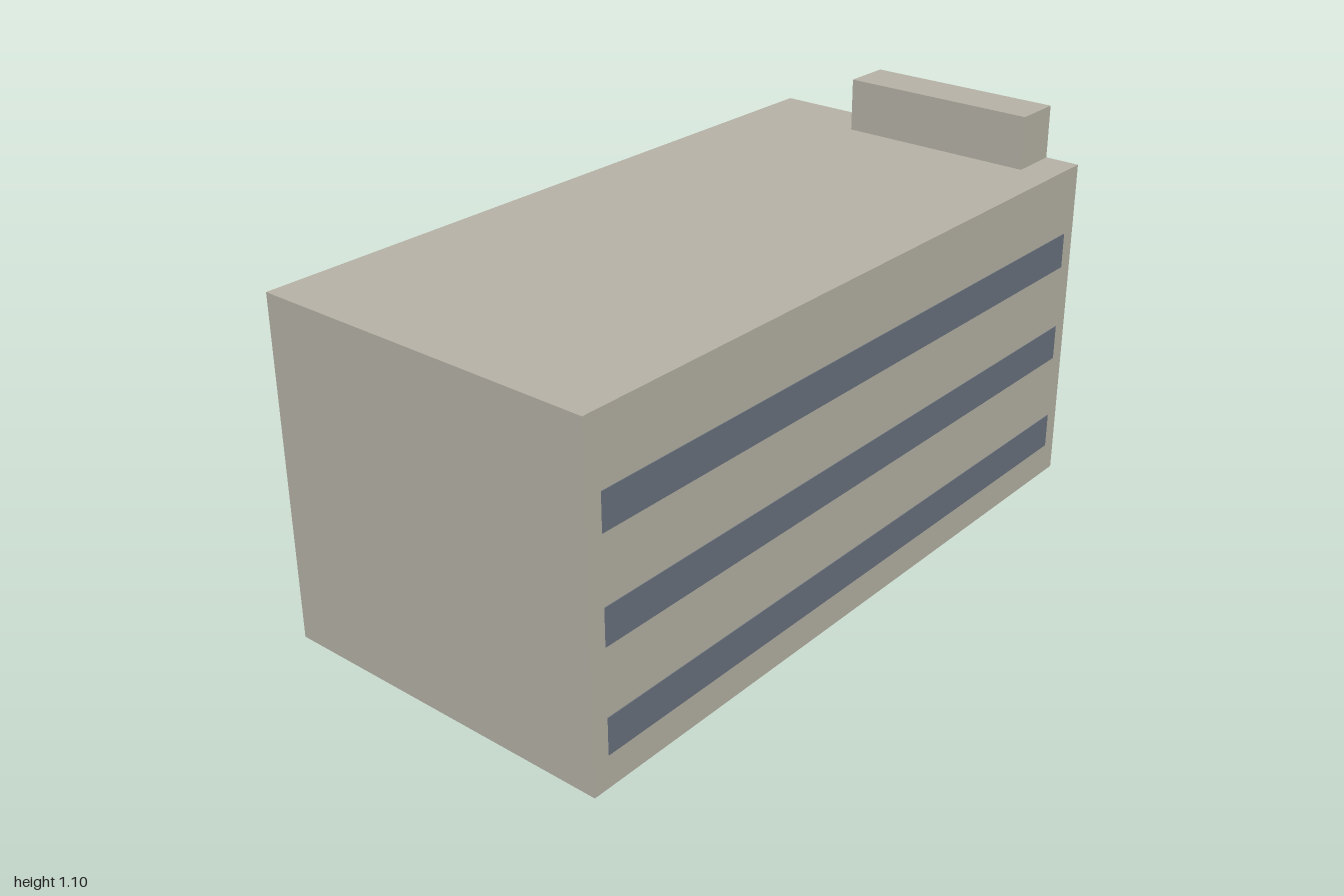
import * as THREE from 'three';

export function createModel() {
  const model = new THREE.Group();
  model.name = 'officeBlock';

  const concrete = new THREE.MeshStandardMaterial({ name: 'warm grey concrete', color: 0xb8b4a8 });
  const glass = new THREE.MeshStandardMaterial({ name: 'blue grey glass', color: 0x6b747f });

  const addBox = (name, material, size, position) => {
    const mesh = new THREE.Mesh(new THREE.BoxGeometry(...size), material);
    mesh.name = name;
    mesh.position.set(...position);
    model.add(mesh);
  };

  // Main block
  const height = 0.946, depth = 0.998;
  addBox('mainBlock', concrete, [2, height, depth], [0, height / 2, 0]);

  // Rooftop plant room, flush with the left end wall
  addBox('rooftopRoom', concrete, [0.138, 0.15, 0.57], [0.93, height + 0.075, 0.115]);

  // Ribbon windows: three storeys, front and back
  for (const [side, z] of [['front', 1], ['back', -1]]) {
    [0.14, 0.424, 0.706].forEach((y, i) => {
      addBox(`${side}WindowBand${i + 1}`, glass, [1.904, 0.1, 0.004], [0, y, z * depth / 2]);
    });
  }

  return model;
}
